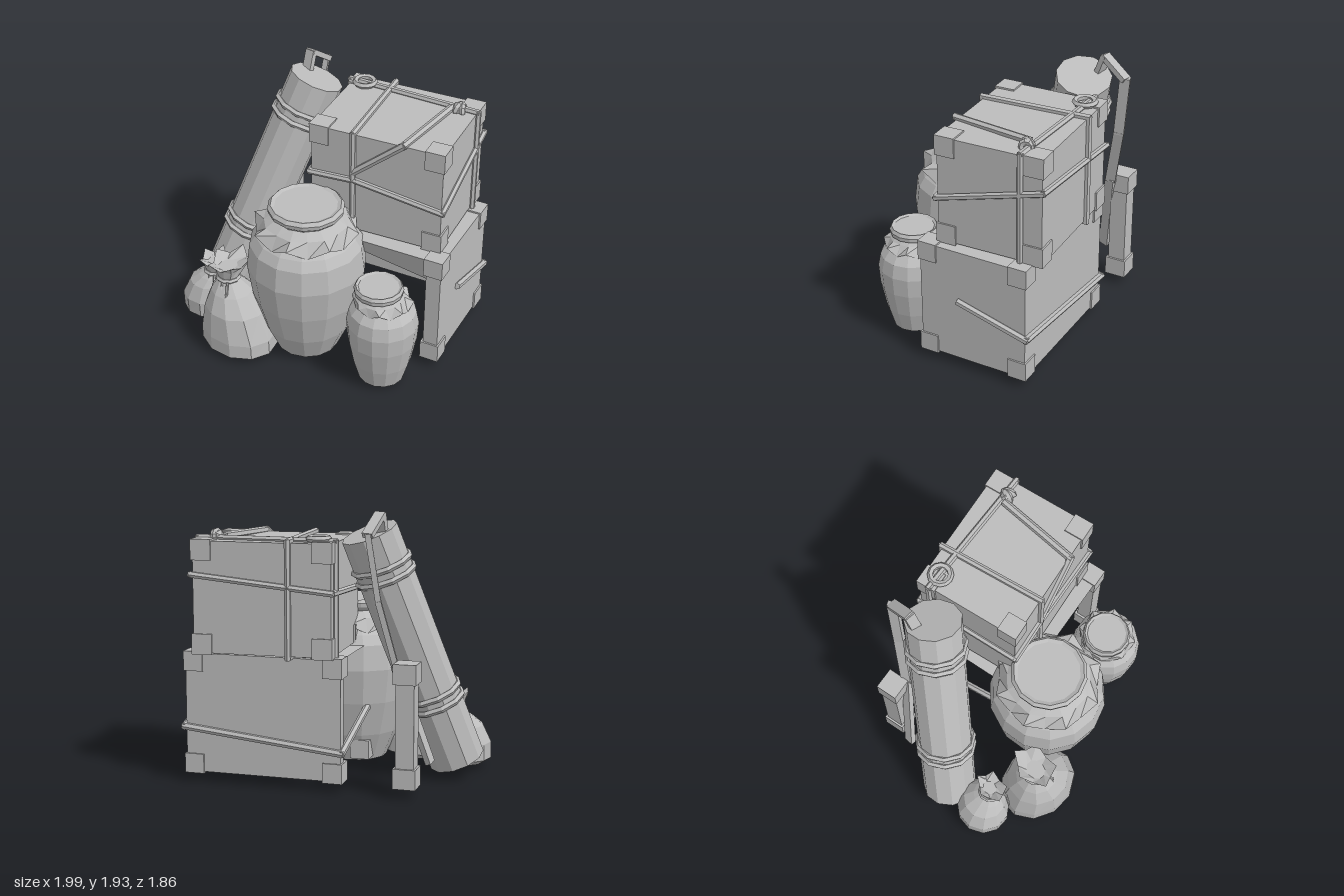
import * as THREE from 'three';

const clay = new THREE.MeshStandardMaterial({ color: 0xbcbcbc, flatShading: true, side: THREE.DoubleSide });
clay.name = 'clay grey';
const V = (a) => new THREE.Vector3(...a);

function add(parent, geometry, name, x = 0, y = 0, z = 0) {
  const m = new THREE.Mesh(geometry, clay);
  m.name = name;
  m.position.set(x, y, z);
  parent.add(m);
  return m;
}

// Straight piece between two points
function between(parent, name, a, b, make) {
  const p = V(a), q = V(b), d = q.clone().sub(p);
  const m = add(parent, make(d.length()), name);
  m.position.copy(p).add(q).multiplyScalar(0.5);
  m.quaternion.setFromUnitVectors(new THREE.Vector3(0, 1, 0), d.normalize());
  return m;
}

function rope(parent, name, pts, r = 0.023, closed = false) {
  const n = closed ? pts.length : pts.length - 1;
  for (let i = 0; i < n; i++) {
    between(parent, name, pts[i], pts[(i + 1) % pts.length], (l) => new THREE.CylinderGeometry(r, r, l + r, 6));
  }
}

// Skin over horizontal rings [y, radiusX, radiusZ, centreX, centreZ, wave, lift], with optional end caps
function loft(rings, sides, capped = true) {
  const pos = [], idx = [];
  for (const [y, rx, rz = rx, cx = 0, cz = 0, wave = 0, lift = 0] of rings) {
    for (let j = 0; j < sides; j++) {
      const a = (j / sides) * Math.PI * 2, s = j % 2 ? 1 : -1;
      pos.push(cx + Math.cos(a) * rx * (1 + s * wave), y + s * lift, cz + Math.sin(a) * rz * (1 + s * wave));
    }
  }
  for (let i = 0; i < rings.length - 1; i++) {
    for (let j = 0; j < sides; j++) {
      const k = (j + 1) % sides, a = i * sides, b = a + sides;
      idx.push(a + j, b + j, a + k, a + k, b + j, b + k);
    }
  }
  const top = (rings.length - 1) * sides;
  for (let j = 1; capped && j < sides - 1; j++) idx.push(0, j, j + 1, top, top + j + 1, top + j);
  const g = new THREE.BufferGeometry();
  g.setAttribute('position', new THREE.Float32BufferAttribute(pos, 3));
  g.setIndex(idx);
  g.computeVertexNormals();
  return g;
}

// Box with a protective block on every corner; open lists the box sides left out
function crate(parent, name, [w, h, d], cap, [x, y, z], turn, open = []) {
  const g = new THREE.Group();
  g.name = name;
  g.position.set(x, y, z);
  g.rotation.y = turn;
  parent.add(g);
  const body = new THREE.BoxGeometry(w, h, d);
  body.setIndex([...body.index.array].filter((_, i) => !open.includes(Math.floor(i / 6))));
  body.clearGroups();
  add(g, body, 'crateBody');
  const o = 0.012 - cap / 2;
  for (const sx of [-1, 1]) for (const sy of [-1, 1]) for (const sz of [-1, 1]) {
    add(g, new THREE.BoxGeometry(cap, cap, cap), 'cornerBlock', sx * (w / 2 + o), sy * (h / 2 + o), sz * (d / 2 + o));
  }
  return g;
}

// Pot with a tied cloth cover; the profile lists [height, radius]
function jar(parent, name, profile, neck, lid, skirt, x, z) {
  const g = new THREE.Group();
  g.name = name;
  g.position.set(x, 0, z);
  parent.add(g);
  add(g, loft(profile, 14), 'potBody');
  const [ny, nr] = neck, [ly, lr, lx, lz] = lid, [sy, sr] = skirt;
  add(g, loft([[sy, sr, sr, 0, 0, 0.055, lr * 0.13],
    [sy * 0.4 + ny * 0.6, sr * 0.5 + nr * 0.5, sr * 0.5 + nr * 0.5, lx, lz, 0.02], [ny, nr, nr, lx, lz]], 16, false), 'clothSkirt');
  const lidRings = [[ny - 0.01, nr], [ly - 0.055, lr * 0.98], [ly - 0.025, lr], [ly, lr * 0.92], [ly - 0.012, lr * 0.82]];
  add(g, loft(lidRings.map(([y, r]) => [y, r, r, lx, lz]), 14), 'clothLid');
  return g;
}

// Tied bag: rings from base to neck, then a ruffled mouth
function sack(parent, name, rings, neck, mouth) {
  const g = new THREE.Group();
  g.name = name;
  parent.add(g);
  const [ny, nr, nx, nz] = neck, [my, mr, mx, mz] = mouth;
  add(g, loft([...rings, [ny, nr, nr, nx, nz]], 11), 'bagBody');
  add(g, loft([[ny, nr, nr, nx, nz], [(ny + my) / 2 + 0.02, mr * 0.75, mr * 0.9, mx, mz, 0.1],
    [my, mr, mr * 1.3, mx, mz, 0.13, 0.025], [my - 0.04, mr * 0.5, mr * 0.6, nx, nz]], 10), 'bagMouth');
  const tie = add(g, new THREE.TorusGeometry(nr + 0.005, 0.018, 5, 10), 'tieCord', nx, ny, nz);
  tie.rotation.x = Math.PI / 2;
  for (const s of [0.01, 0.06]) {
    rope(g, 'cordEnd', [[nx + s, ny, nz + nr], [nx + s + 0.02, ny - 0.07, nz + nr + 0.03], [nx + s + 0.01, ny - 0.15, nz + nr + 0.07]], 0.01);
  }
}

export function createModel() {
  const model = new THREE.Group();
  model.name = 'cargoPile';

  // Stacked crates; the lower one is open underneath and on the sides hidden by the jars and tube
  const low = crate(model, 'lowerCrate', [1.13, 0.85, 0.81], 0.14, [0.325, 0.51, -0.32], 0.27, [1, 3, 4]);
  const up = crate(model, 'upperCrate', [0.98, 0.775, 0.77], 0.145, [0.30, 1.34, -0.39], 0.306);
  add(low, new THREE.BoxGeometry(0.11, 0.84, 0.11), 'frontPost', 0.509, 0, 0.35);
  add(low, new THREE.BoxGeometry(0.08, 0.84, 0.08), 'backPost', -0.524, 0, -0.364);
  const flap = new THREE.BufferGeometry().setFromPoints([[-0.565, 0.425, 0.405], [0.46, 0.2, 0.33], [0.46, 0.425, 0.405]].map(V));
  flap.computeVertexNormals();
  add(low, flap, 'frontPanel');

  // Loose corner post
  const post = new THREE.Group();
  post.name = 'cornerPost';
  post.position.set(-0.755, 0.51, -0.4);
  post.rotation.y = 0.27;
  model.add(post);
  add(post, new THREE.BoxGeometry(0.13, 0.84, 0.13), 'postShaft');
  for (const s of [-1, 1]) add(post, new THREE.BoxGeometry(0.16, 0.14, 0.16), 'postCap', 0, s * 0.36, 0);

  // Rope on the lower crate
  const lx = 0.575, lz = 0.42;
  rope(low, 'crateRope', [[lx, 0.04, 0.1], [lx, -0.1, -lz], [-lx, -0.22, -lz], [-lx, 0.02, lz]], 0.026);

  // Ropes on the upper crate
  const ux = 0.5, uy = 0.398, uz = 0.395;
  rope(up, 'crossRope', [[-0.17, uy, uz], [-0.17, -uy, uz], [-0.19, -uy, -uz], [-0.19, uy, -uz]], 0.023, true);
  rope(up, 'longRope', [[-ux, uy, -0.30], [ux, uy, -0.23], [ux, -uy, -0.23], [-ux, -uy, -0.30]], 0.023, true);
  rope(up, 'girthRope', [[-ux, 0.01, uz], [-0.15, 0.025, uz], [ux, -0.065, uz], [ux, 0.155, -uz], [-ux, 0.055, -uz]], 0.023, true);
  rope(up, 'diagonalRope', [[-0.16, 0.095, uz], [0.2, uy, uz], [0.31, uy + 0.01, -0.2]], 0.027);
  add(up, new THREE.IcosahedronGeometry(0.05, 0), 'knot', 0.36, uy + 0.01, -0.22);
  for (const [r, dx] of [[0.04, 0], [0.035, 0.03]]) {
    const loop = add(up, new THREE.TorusGeometry(r, 0.022, 5, 9), 'knotLoop', 0.36 + dx, uy + 0.005, -0.22);
    loop.rotation.set(0.4, 1.2 + dx * 20, 0);
  }
  const coil = add(up, new THREE.TorusGeometry(0.07, 0.022, 5, 12), 'ropeCoil', -0.38, uy + 0.015, -0.28);
  coil.rotation.x = Math.PI / 2;

  // Leaning tube with paired bands
  const foot = V([-0.80, 0.14, 0.26]), head = V([-0.40, 1.79, -0.305]);
  const tube = between(model, 'longTube', foot.toArray(), head.toArray(), (l) => new THREE.CylinderGeometry(0.2, 0.2, l, 11));
  const len = foot.distanceTo(head);
  for (const t of [0.868, 0.82, 0.31, 0.265]) {
    const band = add(tube, new THREE.TorusGeometry(0.203, 0.023, 5, 11), 'tubeBand', 0, (t - 0.5) * len, 0);
    band.rotation.x = Math.PI / 2;
  }

  // Carrying strap looping over the tube and hanging behind it
  const strap = [[-0.52, 1.77, -0.33], [-0.53, 1.92, -0.385], [-0.54, 1.80, -0.56], [-0.58, 1.35, -0.49],
    [-0.65, 0.9, -0.37], [-0.82, 0.22, -0.19]];
  for (let i = 0; i < strap.length - 1; i++) {
    between(model, 'strap', strap[i], strap[i + 1], (l) => new THREE.BoxGeometry(0.075, l + 0.02, 0.04));
  }

  // Covered jars
  jar(model, 'largeJar', [[0.045, 0.23], [0.25, 0.32], [0.5, 0.39], [0.75, 0.427], [0.93, 0.405], [1.0, 0.36], [1.07, 0.28], [1.14, 0.22]],
    [1.165, 0.23], [1.245, 0.272, 0, 0], [1.045, 0.37], 0.09, 0.33);
  const small = jar(model, 'smallJar', [[0.045, 0.165], [0.2, 0.21], [0.38, 0.245], [0.52, 0.255], [0.62, 0.235], [0.67, 0.195], [0.75, 0.13]],
    [0.77, 0.145], [0.822, 0.175, -0.03, 0.01], [0.69, 0.205], 0.745, 0.255);
  small.rotation.y = 0.2;

  // Tied sacks
  sack(model, 'largeSack', [[0.01, 0.21, 0.17, -0.28, 0.69], [0.06, 0.305, 0.25, -0.275, 0.67], [0.17, 0.3, 0.25, -0.275, 0.67],
    [0.37, 0.235, 0.22, -0.29, 0.68], [0.5, 0.155, 0.15, -0.315, 0.69]], [0.6, 0.07, -0.335, 0.7], [0.735, 0.125, -0.33, 0.68]);
  sack(model, 'smallSack', [[0.04, 0.14, 0.14, -0.71, 0.55], [0.08, 0.195, 0.2, -0.715, 0.55], [0.2, 0.195, 0.205, -0.715, 0.55],
    [0.32, 0.155, 0.16, -0.695, 0.55], [0.38, 0.105, 0.11, -0.665, 0.55]], [0.42, 0.065, -0.645, 0.55], [0.545, 0.09, -0.635, 0.56]);

  return model;
}
